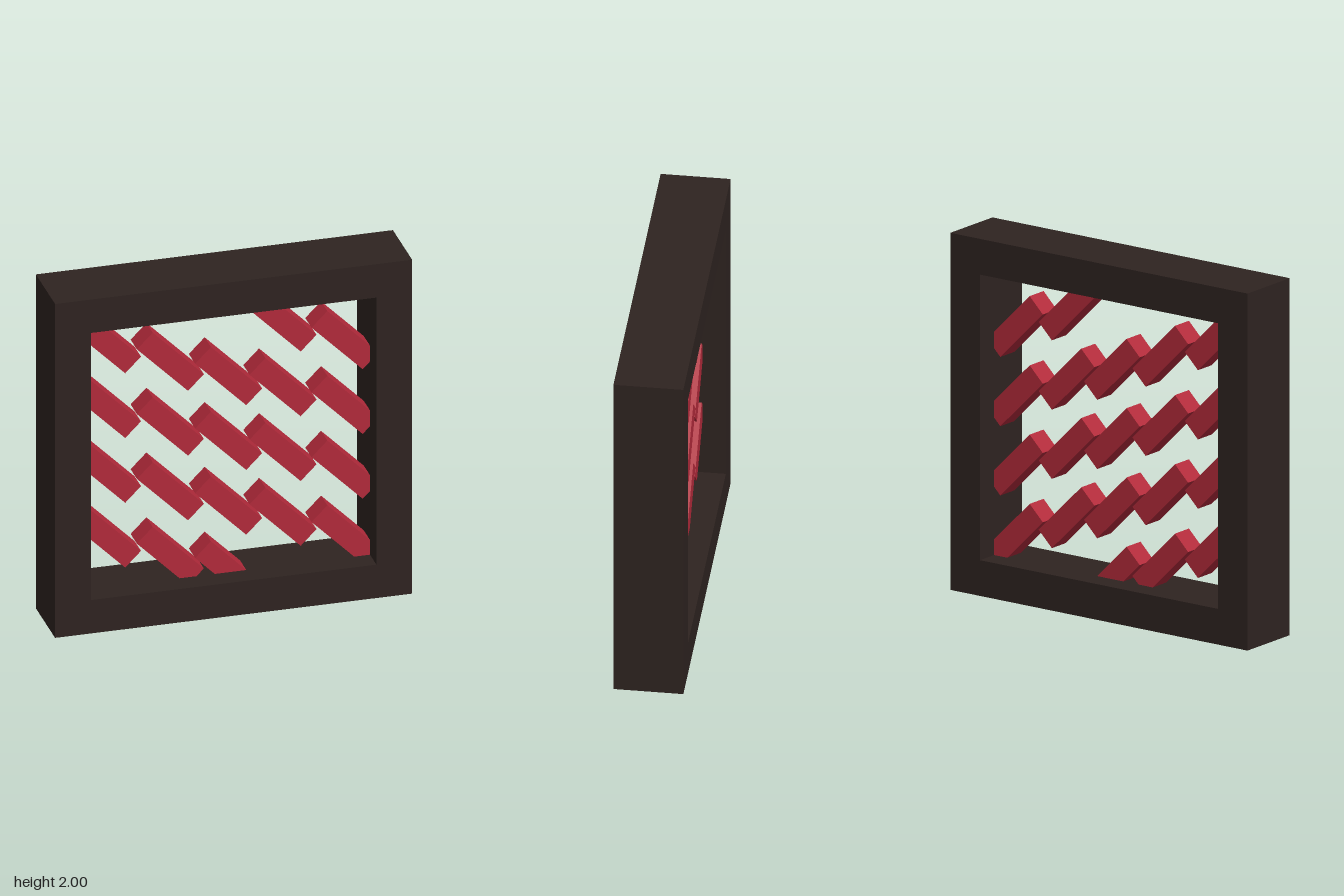
import * as THREE from 'three';

const frameMaterial = new THREE.MeshStandardMaterial({ color: 0x2e2320 });
const slatMaterial = new THREE.MeshStandardMaterial({ color: 0xb22a3a });

// Square path around the origin
function square(path, half) {
  path.moveTo(-half, -half);
  path.lineTo(half, -half);
  path.lineTo(half, half);
  path.lineTo(-half, half);
  path.closePath();
  return path;
}

export function createModel() {
  const model = new THREE.Group();
  model.name = 'slattedWindow';

  // Deep square frame with a square opening
  const depth = 0.38;
  const outline = square(new THREE.Shape(), 1);
  outline.holes.push(square(new THREE.Path(), 0.8));
  const frameGeometry = new THREE.ExtrudeGeometry(outline, { depth, bevelEnabled: false });
  frameGeometry.translate(0, 1, -depth / 2);
  const frame = new THREE.Mesh(frameGeometry, frameMaterial);
  frame.name = 'frame';
  model.add(frame);

  // Diagonal slats: columns of four, each column stepped in height
  const slats = new THREE.Group();
  slats.name = 'slats';
  const slatGeometry = new THREE.BoxGeometry(0.405, 0.125, 0.125);
  const columns = [[-0.67, 1.656], [-0.318, 1.504], [0.008, 1.375], [0.313, 1.656], [0.66, 1.504]];
  const rowSpacing = 0.388;
  columns.forEach(([x, topY], c) => {
    for (let row = 0; row < 4; row++) {
      const slat = new THREE.Mesh(slatGeometry, slatMaterial);
      slat.name = `slat${c + 1}_${row + 1}`;
      slat.position.set(x, topY - row * rowSpacing, 0);
      slat.rotation.z = -Math.PI / 4;
      slats.add(slat);
    }
  });
  model.add(slats);

  return model;
}
